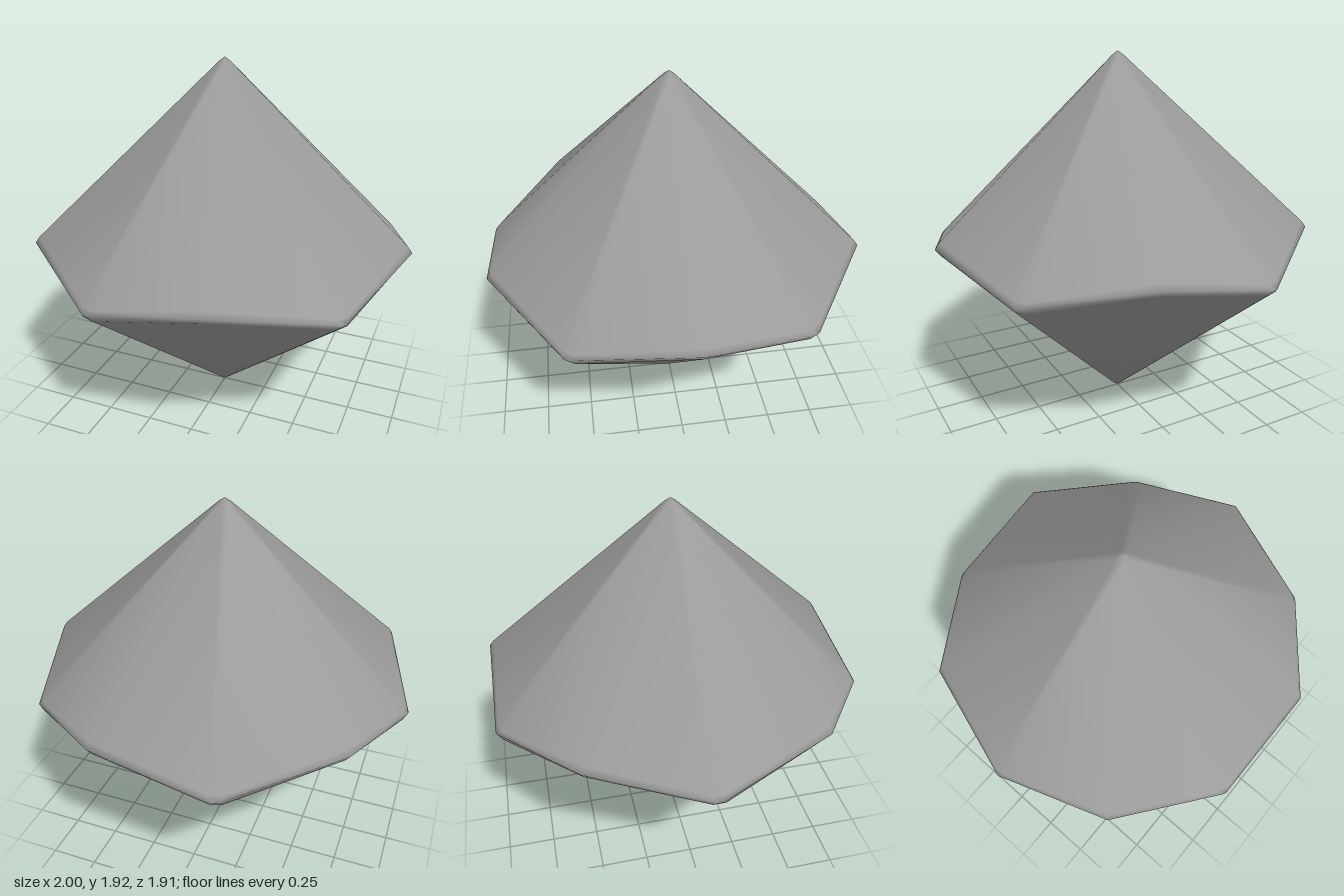
import * as THREE from 'three';

const SIDES = 5;
const STEP = (2 * Math.PI) / SIDES;

export function createModel() {
  const positions = [], index = [];
  const add = (r, a, y) => {
    positions.push(r * Math.cos(a), y, r * Math.sin(a));
    return positions.length / 3 - 1;
  };

  // Zigzag girdle ring: low corner, high corner, low corner for every sector
  const girdleRing = (r, lowY, highY, bevelDegrees) => {
    const ring = [], half = STEP / 2 - THREE.MathUtils.degToRad(bevelDegrees);
    for (let s = 0; s < SIDES; s++) {
      const a = s * STEP;
      ring.push(add(r, a - half, lowY), add(r, a, highY), add(r, a + half, lowY));
    }
    return ring;
  };

  // Small ring that blunts an apex
  const apexRing = (r, y) => Array.from({ length: SIDES }, (_, s) => add(r, s * STEP, y));

  const upper = girdleRing(0.978, 0.93, 1.052, 1.8);
  const middle = girdleRing(1.0, 0.905, 1.022, 0.5);
  const lower = girdleRing(0.978, 0.876, 0.99, 1.8);
  const n = upper.length;

  // Rounded girdle band
  for (const [top, bottom] of [[upper, middle], [middle, lower]]) {
    for (let i = 0; i < n; i++) {
      const j = (i + 1) % n;
      index.push(top[i], top[j], bottom[i], top[j], bottom[j], bottom[i]);
    }
  }

  // Five broad facets with bevelled ridges, closed by a tip
  const addCone = (girdle, apex, tip, up) => {
    const tri = (a, b, c) => (up ? index.push(a, b, c) : index.push(a, c, b));
    for (let s = 0; s < SIDES; s++) {
      const t = (s + 1) % SIDES;
      const [left, mid, right] = girdle.slice(s * 3, s * 3 + 3);
      tri(apex[s], mid, left);
      tri(apex[s], right, mid);
      tri(apex[s], girdle[t * 3], right);
      tri(apex[s], apex[t], girdle[t * 3]);
      tri(tip, apex[t], apex[s]);
    }
  };
  addCone(upper, apexRing(0.03, 1.897), add(0, 0, 1.917), true);
  addCone(lower, apexRing(0.03, 0.021), add(0, 0, 0), false);

  const geometry = new THREE.BufferGeometry();
  geometry.setAttribute('position', new THREE.Float32BufferAttribute(positions, 3));
  geometry.setIndex(index);
  geometry.computeVertexNormals();

  const body = new THREE.Mesh(geometry, new THREE.MeshStandardMaterial({ color: 0x9b9b9b }));
  body.name = 'tenSidedDie';
  const group = new THREE.Group();
  group.name = 'die';
  group.add(body);
  return group;
}
